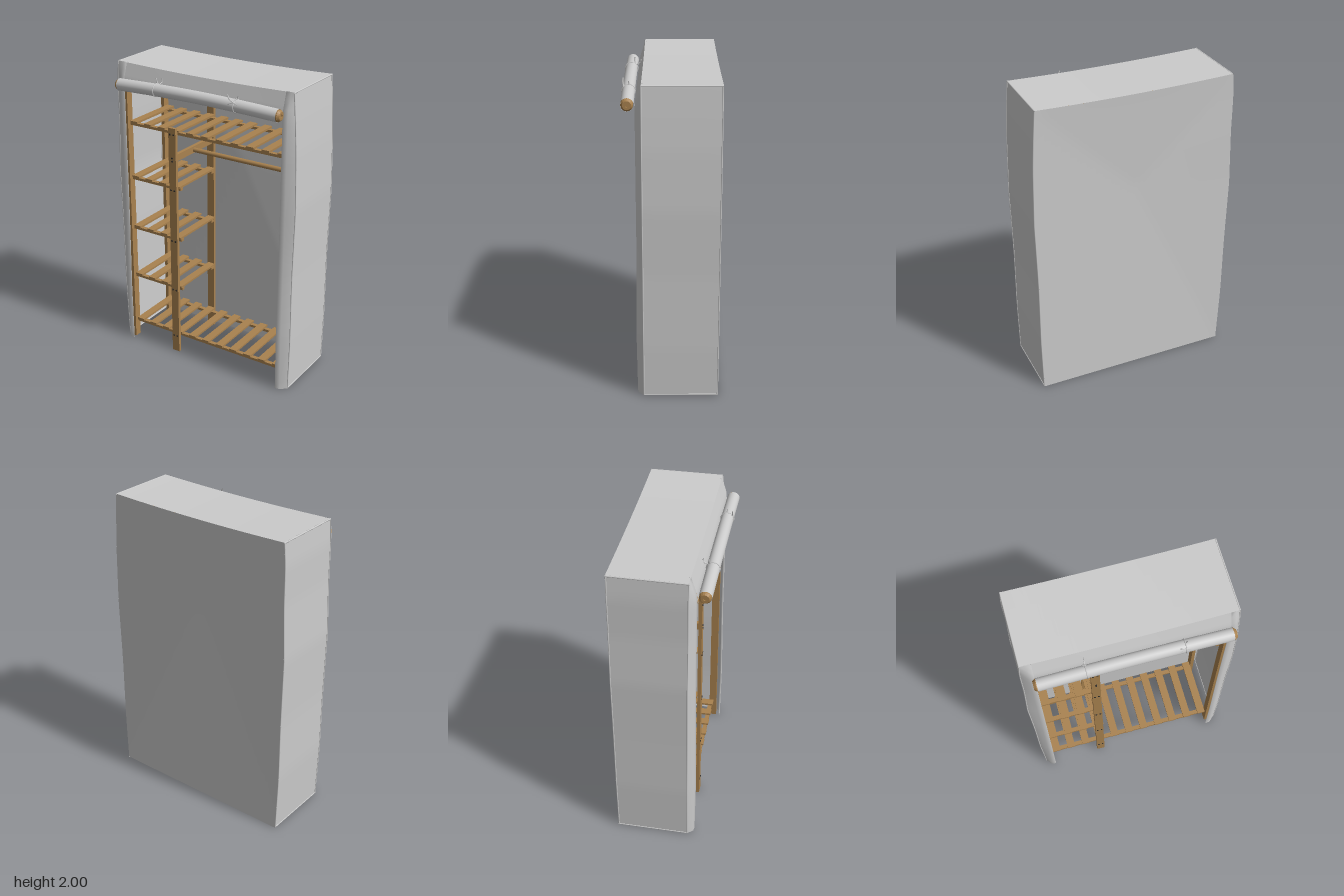
import * as THREE from 'three';

const wood = new THREE.MeshStandardMaterial({ color: 0xa9824f });
const bolt = new THREE.MeshStandardMaterial({ color: 0x33302c });
const cloth = new THREE.MeshStandardMaterial({ color: 0xcccccc, side: THREE.DoubleSide });
const V = (x, y, z) => new THREE.Vector3(x, y, z);

// Smooth surface over a grid of points f(u, v), u and v from 0 to 1
function sheet(nu, nv, f) {
  const pos = [], idx = [];
  for (let i = 0; i <= nu; i++)
    for (let j = 0; j <= nv; j++) pos.push(...f(i / nu, j / nv));
  for (let i = 0; i < nu; i++)
    for (let j = 0; j < nv; j++) {
      const a = i * (nv + 1) + j, b = a + nv + 1;
      idx.push(a, b, a + 1, b, b + 1, a + 1);
    }
  const g = new THREE.BufferGeometry();
  g.setAttribute('position', new THREE.Float32BufferAttribute(pos, 3));
  g.setIndex(idx);
  g.computeVertexNormals();
  return g;
}

// Linear lookup in a short list of [key, value] pairs
function lookup(list, k) {
  for (let i = 1; i < list.length; i++)
    if (k <= list[i][0]) {
      const [k0, a] = list[i - 1], [k1, b] = list[i];
      return a + (b - a) * (k - k0) / (k1 - k0);
    }
  return list[list.length - 1][1];
}

// Loose side outlines of the cover
const LEFT = [[0, 0.65], [0.35, 0.657], [0.8, 0.655], [1.25, 0.664], [1.6, 0.656], [1.8, 0.645], [1.95, 0.634], [2, 0.63]];
const RIGHT = [[0, 0.64], [0.4, 0.655], [0.8, 0.657], [1.25, 0.667], [1.6, 0.655], [1.85, 0.655], [2, 0.645]];
const sideX = (s, y) => s * lookup(s > 0 ? LEFT : RIGHT, y);
const frontZ = y => lookup([[0, 0.21], [0.4, 0.215], [1, 0.208], [1.88, 0.208], [2, 0.17]], y);
const BACK = -0.297, EDGE = 0.17, OPEN = 0.578;

export function createModel() {
  const model = new THREE.Group();
  const add = (name, geo, mat, parent = model) => {
    const m = new THREE.Mesh(geo, mat);
    m.name = name;
    parent.add(m);
    return m;
  };
  const group = name => {
    const g = new THREE.Group();
    g.name = name;
    model.add(g);
    return g;
  };
  // Box given by its limits
  const box = (name, x0, x1, y0, y1, z0, z1, parent) =>
    add(name, new THREE.BoxGeometry(x1 - x0, y1 - y0, z1 - z0), wood, parent)
      .position.set((x0 + x1) / 2, (y0 + y1) / 2, (z0 + z1) / 2);
  const tube = (name, pts, r, mat, parent, n = 24) =>
    add(name, new THREE.TubeGeometry(new THREE.CatmullRomCurve3(pts), n, r, 8), mat, parent);

  // Fabric cover
  const cover = group('cover');
  const topY = x => 1.985 + 0.011 * Math.min(1, (x / 0.63) ** 2);
  for (const s of [1, -1]) {
    add('sidePanel', sheet(40, 6, (u, v) => {
      const y = u * 1.996;
      return [sideX(s, y), y, EDGE + v * (BACK - EDGE)];
    }), cloth, cover);
    // Front flap with a folded hem
    add('frontFlap', sheet(40, 3, (u, v) => {
      const y = u * 1.996, k = Math.round(v * 3), x = sideX(s, y), z = frontZ(y);
      return [[x, y, EDGE], [s * 0.61, y, z - 0.004], [s * OPEN, y, z], [s * (OPEN + 0.004), y, z - 0.012]][k];
    }), cloth, cover);
    // Seam piping along the vertical and top edges
    for (const z of [EDGE, BACK + 0.004]) {
      const pts = [];
      for (let i = 0; i <= 16; i++) pts.push(V(sideX(s, i * 0.1245), 0.003 + i * 0.1242, z));
      tube('seam', pts, 0.004, cloth, cover, 40);
    }
    tube('topSeam', [V(sideX(s, 2), 1.993, EDGE), V(sideX(s, 2), 1.993, BACK)], 0.005, cloth, cover, 2);
    tube('bottomHem', [V(sideX(s, 0), 0.005, EDGE), V(sideX(s, 0), 0.005, BACK)], 0.004, cloth, cover, 2);
  }
  add('topPanel', sheet(20, 4, (u, v) => {
    const x = THREE.MathUtils.lerp(sideX(-1, 2), sideX(1, 2), u);
    return [x, topY(x), EDGE + v * (BACK - EDGE)];
  }), cloth, cover);
  add('frontBand', sheet(20, 6, (u, v) => {
    const x = (u * 2 - 1) * OPEN, y = 1.84 + v * (topY(x) - 1.84);
    return [x, y, frontZ(y + v * (2 - topY(x)))];
  }), cloth, cover);
  // Back panel drawn in slightly towards a point above the middle
  add('backPanel', sheet(40, 40, (u, v) => {
    const y = v * 1.99, x = THREE.MathUtils.lerp(sideX(-1, y), sideX(1, y), u);
    const dy = y > 1.37 ? (y - 1.37) / 0.62 : (1.37 - y) / 1.37;
    const d = Math.max(Math.abs(u * 2 - 1), dy);
    return [x, y >= 1.989 ? topY(x) : y, BACK + 0.025 * (1 - d)];
  }), cloth, cover);

  // Wooden posts and top rails
  const frame = group('frame');
  for (const [z0, z1] of [[0.13, 0.18], [-0.265, -0.215]]) {
    box('cornerPost', -0.603, -0.58, 0, 1.93, z0, z1, frame);
    box('cornerPost', 0.576, 0.6, 0, 1.93, z0, z1, frame);
    box('topRail', -0.6, 0.6, 1.93, 1.95, z0, z1, frame);
  }
  box('frontMiddlePost', -0.255, -0.2, 0, 1.625, 0.165, 0.187, frame);
  box('backMiddlePost', -0.253, -0.2, 0, 1.93, -0.27, -0.25, frame);

  // Slatted shelves: full width at top and bottom, short ones on the right
  const shelf = (y, count, x1) => {
    const g = group('shelf');
    for (const z of [0.125, -0.235]) box('shelfRail', -0.58, x1, y, y + 0.017, z, z + 0.028, g);
    for (let i = 0; i < count; i++) {
      const x = -0.55 + i * 0.11;
      box('slat', x - 0.027, x + 0.027, y + 0.017, y + 0.03, -0.25, 0.16, g);
    }
    for (const x of [-0.241, -0.214]) {
      const b = add('bolt', new THREE.CylinderGeometry(0.006, 0.006, 0.006, 10), bolt, g);
      b.rotation.x = Math.PI / 2;
      b.position.set(x, y + 0.008, 0.188);
    }
  };
  shelf(0.112, 11, 0.58);
  for (const y of [0.468, 0.832, 1.195]) shelf(y, 4, -0.19);
  shelf(1.575, 11, 0.58);

  // Hanging rail and its bearers
  const hanging = group('hangingRail');
  box('bearer', -0.24, -0.215, 1.395, 1.44, -0.25, 0.165, hanging);
  box('bearer', 0.555, 0.576, 1.395, 1.44, -0.215, 0.13, hanging);
  const rail = add('rail', new THREE.CylinderGeometry(0.015, 0.015, 0.78, 16), wood, hanging);
  rail.rotation.z = Math.PI / 2;
  rail.position.set(0.175, 1.416, -0.04);
  for (const y of [1.403, 1.425]) {
    const b = add('bolt', new THREE.CylinderGeometry(0.006, 0.006, 0.006, 10), bolt, hanging);
    b.rotation.x = Math.PI / 2;
    b.position.set(-0.227, y, 0.188);
  }

  // Rolled-up door with wooden rod ends
  const roll = group('rolledDoor');
  const rollZ = 0.252;
  tube('roll', [V(-0.575, 1.871, rollZ), V(-0.3, 1.88, rollZ), V(0, 1.884, rollZ), V(0.3, 1.88, rollZ), V(0.575, 1.871, rollZ)],
    0.038, cloth, roll, 32).geometry = new THREE.TubeGeometry(new THREE.CatmullRomCurve3([
    V(-0.575, 1.871, rollZ), V(-0.3, 1.88, rollZ), V(0, 1.884, rollZ), V(0.3, 1.88, rollZ), V(0.575, 1.871, rollZ)]), 32, 0.039, 28);
  for (const s of [1, -1]) {
    const profile = [[0, -0.02], [0.037, -0.02], [0.037, 0.01], [0.026, 0.024], [0.01, 0.024], [0.01, 0.018], [0, 0.018]];
    const g = new THREE.LatheGeometry(profile.map(p => new THREE.Vector2(...p)), 16).toNonIndexed();
    g.computeVertexNormals();
    const end = add('rodEnd', g, wood, roll);
    end.rotation.z = -s * Math.PI / 2;
    end.position.set(s * 0.571, 1.871, rollZ);
  }

  // Cords holding the roll, each with loose tails
  for (const x of [0.29, -0.29]) {
    const cord = group('cord');
    const ring = add('cordLoop', new THREE.TorusGeometry(0.04, 0.004, 6, 24), cloth, cord);
    ring.rotation.y = Math.PI / 2;
    ring.position.set(x, 1.88, rollZ);
    const z = x > 0 ? 0.288 : 0.215, w = x > 0 ? 1 : 0.4;
    const k = V(x, 1.905, z - 0.008 * Math.sign(x));
    for (const [dx, dy, dz] of [[-0.04, 0.045, 0.006], [0.01, 0.035, -0.03], [-0.045, -0.018, 0.006], [0.045, -0.025, 0.004]])
      tube('cordTail', [k, V(x + dx * w * 0.6, 1.905 + dy * 0.4, k.z + dz), V(x + dx * w, 1.905 + dy, k.z + dz)], 0.0035, cloth, cord, 8);
    add('knot', new THREE.SphereGeometry(0.008, 10, 8), cloth, cord).position.copy(k);
  }
  return model;
}
